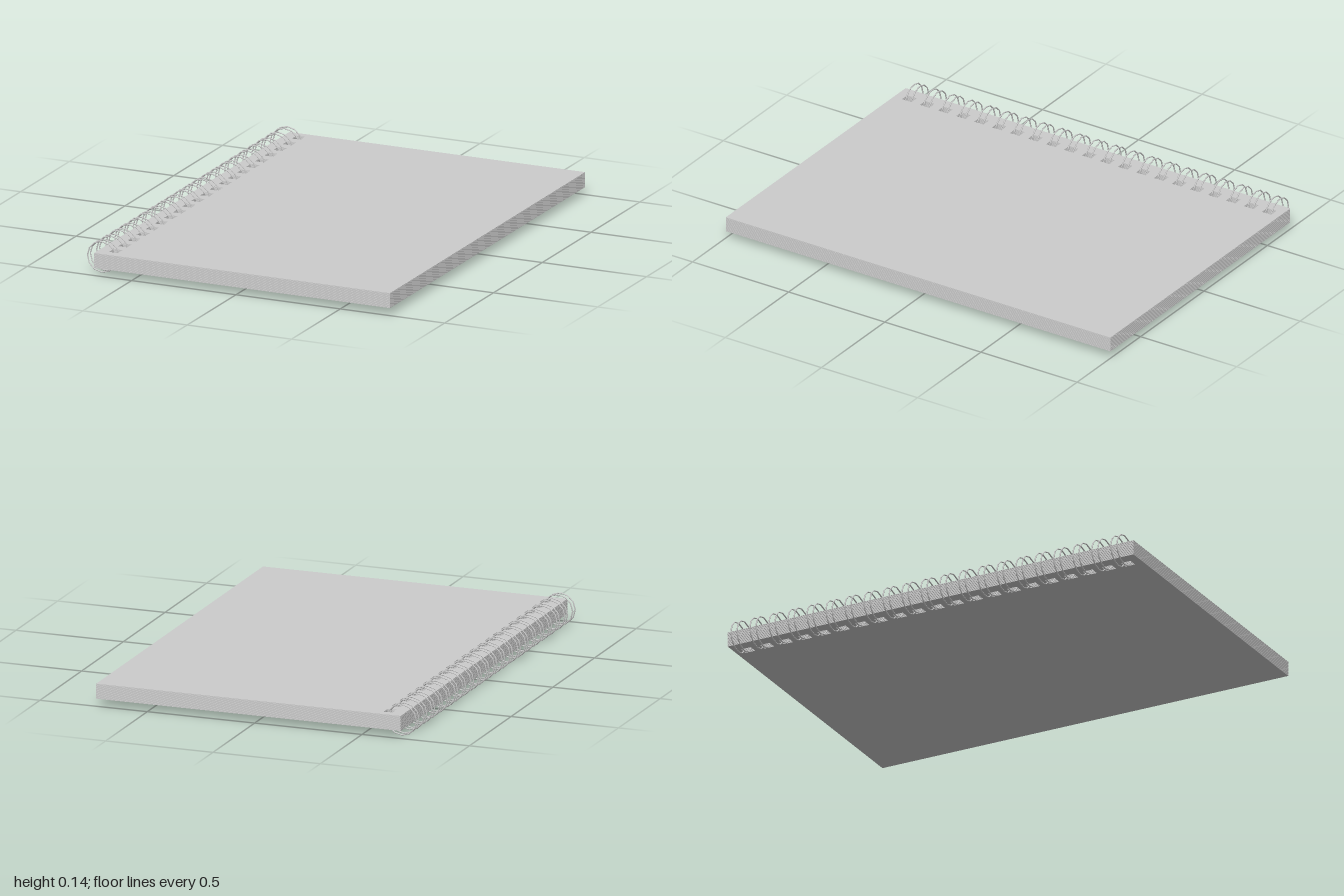
import * as THREE from 'three';

const COUNT = 21;          // binding holes along the spine
const PITCH = 0.0936;
const HOLE_X = -0.607;
const holeZ = (i) => -0.003 + (i - (COUNT - 1) / 2) * PITCH;

// Flat sheet outline with a row of punched square holes (shape y becomes -z)
function sheetShape() {
  const rect = (Type, x0, x1, y0, y1) => {
    const r = new Type();
    r.moveTo(x0, y0);
    r.lineTo(x1, y0);
    r.lineTo(x1, y1);
    r.lineTo(x0, y1);
    r.closePath();
    return r;
  };
  const shape = rect(THREE.Shape, -0.68, 0.738, -1, 1);
  for (let i = 0; i < COUNT; i++) {
    const y = -holeZ(i);
    shape.holes.push(rect(THREE.Path, HOLE_X - 0.021, HOLE_X + 0.021, y - 0.024, y + 0.024));
  }
  return shape;
}

export function createModel() {
  const group = new THREE.Group();
  const material = new THREE.MeshStandardMaterial({ color: 0xcccccc });

  // Stack of covers and pages
  const shape = sheetShape();
  const bottom = 0.034, top = 0.102, layers = 24;
  const step = (top - bottom) / layers;
  const sheetGeo = new THREE.ExtrudeGeometry(shape, { depth: step * 0.85, bevelEnabled: false });
  sheetGeo.rotateX(-Math.PI / 2);
  for (let i = 0; i < layers; i++) {
    const sheet = new THREE.Mesh(sheetGeo, material);
    sheet.name = i === 0 ? 'backCover' : i === layers - 1 ? 'frontCover' : 'page';
    sheet.position.y = bottom + i * step + (i === layers - 1 ? step * 0.15 : 0);
    group.add(sheet);
  }

  // Twin wire rings through every hole
  const ringGeo = new THREE.TorusGeometry(0.069, 0.003, 6, 12);
  for (let i = 0; i < COUNT; i++) {
    for (const side of [-1, 1]) {
      const ring = new THREE.Mesh(ringGeo, material);
      ring.name = 'bindingRing';
      ring.position.set(-0.667, 0.072, holeZ(i) + side * 0.015);
      group.add(ring);
    }
  }
  return group;
}
